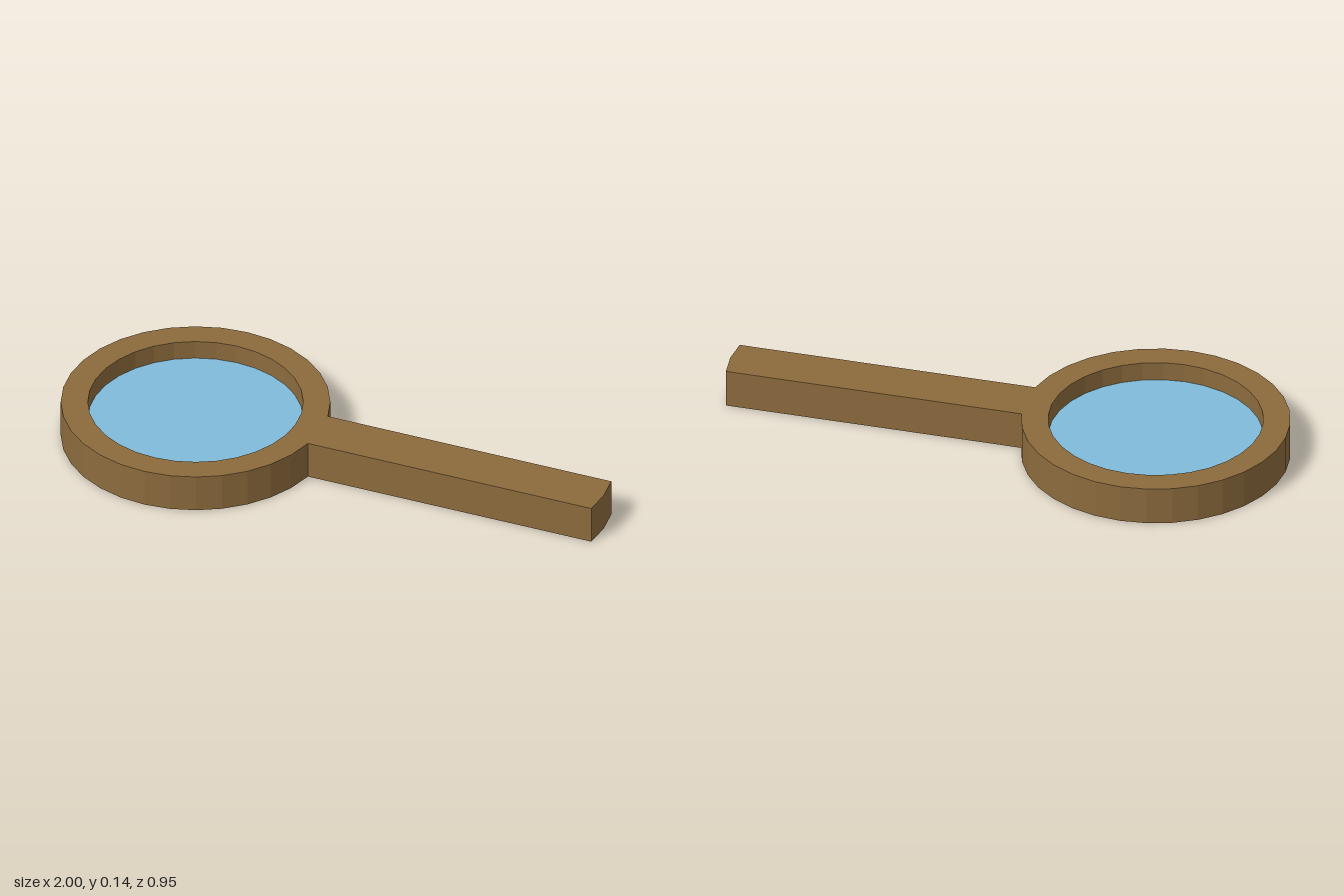
import * as THREE from 'three';

const SIDES = 32, OUTER = 0.473, INNER = 0.378, THICK = 0.14;
const CENTRE_X = -0.527, STEP = (Math.PI * 2) / SIDES;
const HANDLE_LENGTH = 1.075;

// Point on a circle at facet corner i
const corner = (radius, i) =>
  new THREE.Vector2(radius * Math.cos(i * STEP), radius * Math.sin(i * STEP));

// Lay an outline flat (shape y becomes z) as a slab standing on y = 0
function slab(shape) {
  const geometry = new THREE.ExtrudeGeometry(shape, { depth: THICK, bevelEnabled: false });
  return geometry.rotateX(Math.PI / 2).translate(0, THICK, 0);
}

export function createModel() {
  const wood = new THREE.MeshStandardMaterial({ color: 0x8c6b3d, flatShading: true });
  wood.name = 'brown wood';
  const glass = new THREE.MeshStandardMaterial({ color: 0x7fbbda, side: THREE.DoubleSide });
  glass.name = 'blue glass';

  const model = new THREE.Group();
  model.name = 'magnifyingGlass';
  const add = (name, geometry, material) => {
    const mesh = new THREE.Mesh(geometry, material);
    mesh.name = name;
    mesh.position.x = CENTRE_X;
    model.add(mesh);
    return mesh;
  };

  // Faceted rim with a round opening
  const circle = (radius) => Array.from({ length: SIDES }, (_, i) => corner(radius, i));
  const rim = new THREE.Shape(circle(OUTER));
  rim.holes.push(new THREE.Path(circle(INNER)));
  add('rim', slab(rim), wood);

  // Handle: two rim facets drawn straight outwards, so its end keeps their bend
  const reach = corner(HANDLE_LENGTH, 1);
  const root = [0, 1, 2].map((i) => corner(OUTER, i));
  const tip = root.map((p) => p.clone().add(reach));
  add('handle', slab(new THREE.Shape([...tip, ...root.reverse()])), wood);

  // Thin lens halfway up the rim
  const lens = new THREE.CircleGeometry(INNER, SIDES).rotateX(-Math.PI / 2);
  add('lens', lens, glass).position.y = THICK / 2;

  return model;
}
